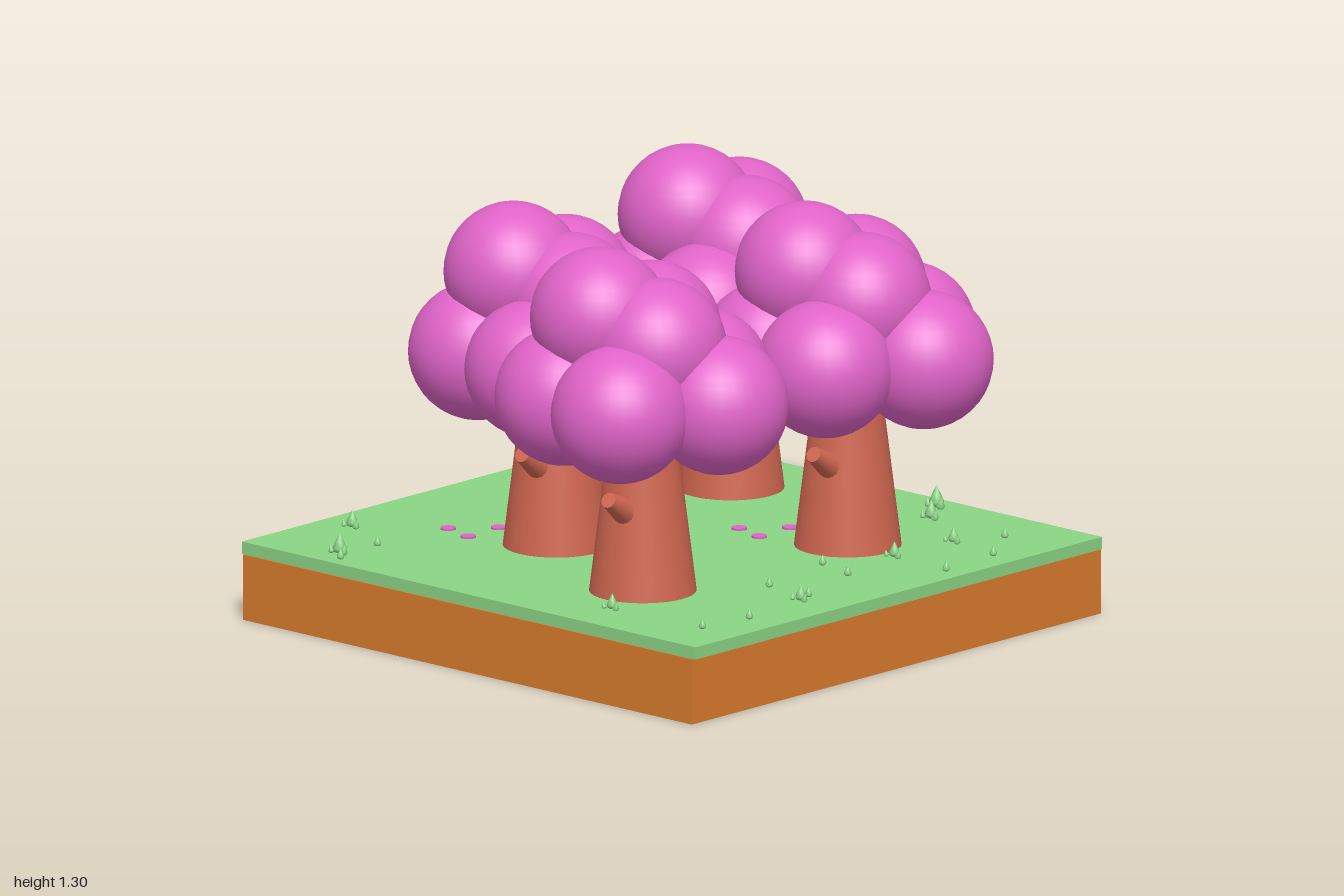
import * as THREE from 'three';

const mat = (name, color) => Object.assign(new THREE.MeshStandardMaterial({ color }), { name });

export function createModel() {
  const soil = mat('soil', 0xd97b2d);
  const grass = mat('grass', 0x8ad484);
  const bark = mat('bark', 0xcf6650);
  const blossom = mat('blossom', 0xe064c8);

  const model = new THREE.Group();
  const add = (parent, name, geometry, material, x, y, z) => {
    const mesh = new THREE.Mesh(geometry, material);
    mesh.name = name;
    mesh.position.set(x, y, z);
    parent.add(mesh);
    return mesh;
  };

  // Ground: thick soil block under a thin grass sheet
  const TOP = 0.24;
  add(model, 'soilBlock', new THREE.BoxGeometry(1.835, 0.202, 1.805), soil, 0, 0.101, 0.052);
  add(model, 'grassLayer', new THREE.BoxGeometry(1.855, 0.038, 1.795), grass, 0, 0.221, 0.052);

  // Shared tree geometry
  const puffGeo = new THREE.SphereGeometry(0.21, 32, 20);
  const trunkGeo = new THREE.CylinderGeometry(0.085, 0.162, 0.62, 32);
  const stubGeo = new THREE.CylinderGeometry(0.024, 0.046, 0.14, 16);
  const petalGeo = new THREE.CylinderGeometry(0.024, 0.024, 0.006, 12);

  // Canopy puffs: a ring of five with three stacked above
  const puffs = [
    [-0.005, 0.85, -0.265], [-0.21, 0.85, -0.11], [-0.15, 0.85, 0.185],
    [0.122, 0.85, 0.23], [0.265, 0.85, -0.05],
    [-0.077, 1.095, 0.107], [0.1, 1.018, 0.045], [-0.057, 1.018, -0.1],
  ];
  const petals = [[-0.36, 0.09], [-0.255, -0.02], [-0.25, 0.12]];

  const stubDir = new THREE.Vector3(0.02, 0.08, 0.13).normalize();
  function makeTree(x, z, hasPetals) {
    const tree = new THREE.Group();
    tree.name = 'tree';
    tree.position.set(x, 0, z);
    add(tree, 'trunk', trunkGeo, bark, 0, TOP + 0.308, 0);
    const stub = add(tree, 'branchStub', stubGeo, bark, 0.03, 0.525, 0.135);
    stub.quaternion.setFromUnitVectors(new THREE.Vector3(0, 1, 0), stubDir);
    puffs.forEach(p => add(tree, 'canopyPuff', puffGeo, blossom, ...p));
    if (hasPetals) petals.forEach(([px, pz]) => add(tree, 'fallenPetal', petalGeo, blossom, px, TOP + 0.003, pz));
    model.add(tree);
  }
  makeTree(-0.295, -0.525, false);
  makeTree(0.425, -0.265, true);
  makeTree(-0.215, 0.33, true);
  makeTree(0.345, 0.553, false);

  // Grass tufts: plump pointed blades, [x, z, height]
  const bladeGeo = new THREE.LatheGeometry(
    [[0.001, 0], [0.26, 0.1], [0.33, 0.28], [0.2, 0.6], [0, 1]].map(p => new THREE.Vector2(...p)), 8);
  const blade = (x, z, h, tilt = 0) => {
    const b = add(model, 'grassBlade', bladeGeo, grass, x, TOP - 0.002, z);
    b.scale.setScalar(h);
    b.rotation.z = tilt;
  };
  const tufts = [
    [0.32, -0.77, 0.07], [-0.76, -0.485, 0.06], [-0.805, 0.595, 0.055], [-0.62, 0.85, 0.065],
    [0.775, 0.32, 0.05], [0.43, 0.78, 0.05], [-0.635, -0.235, 0.05], [-0.45, -0.64, 0.055],
    [0.4, -0.66, 0.06], [0.64, -0.5, 0.05], [0.63, -0.25, 0.05], [-0.48, -0.73, 0.07],
  ];
  for (const [x, z, h] of tufts) {
    blade(x, z, h);
    blade(x + 0.022, z + 0.01, h * 0.6, -0.25);
    blade(x - 0.02, z + 0.012, h * 0.45, 0.25);
  }
  const sprouts = [
    [0.72, -0.64], [-0.57, 0.9], [-0.595, 0.71], [0.765, 0.275], [0.815, 0.59], [0.79, 0.77],
    [0.84, -0.46], [0.6, 0.27], [0.68, 0.01], [0.54, -0.03], [0.17, 0.25], [0.86, -0.23],
  ];
  for (const [x, z] of sprouts) blade(x, z, 0.035);

  return model;
}
